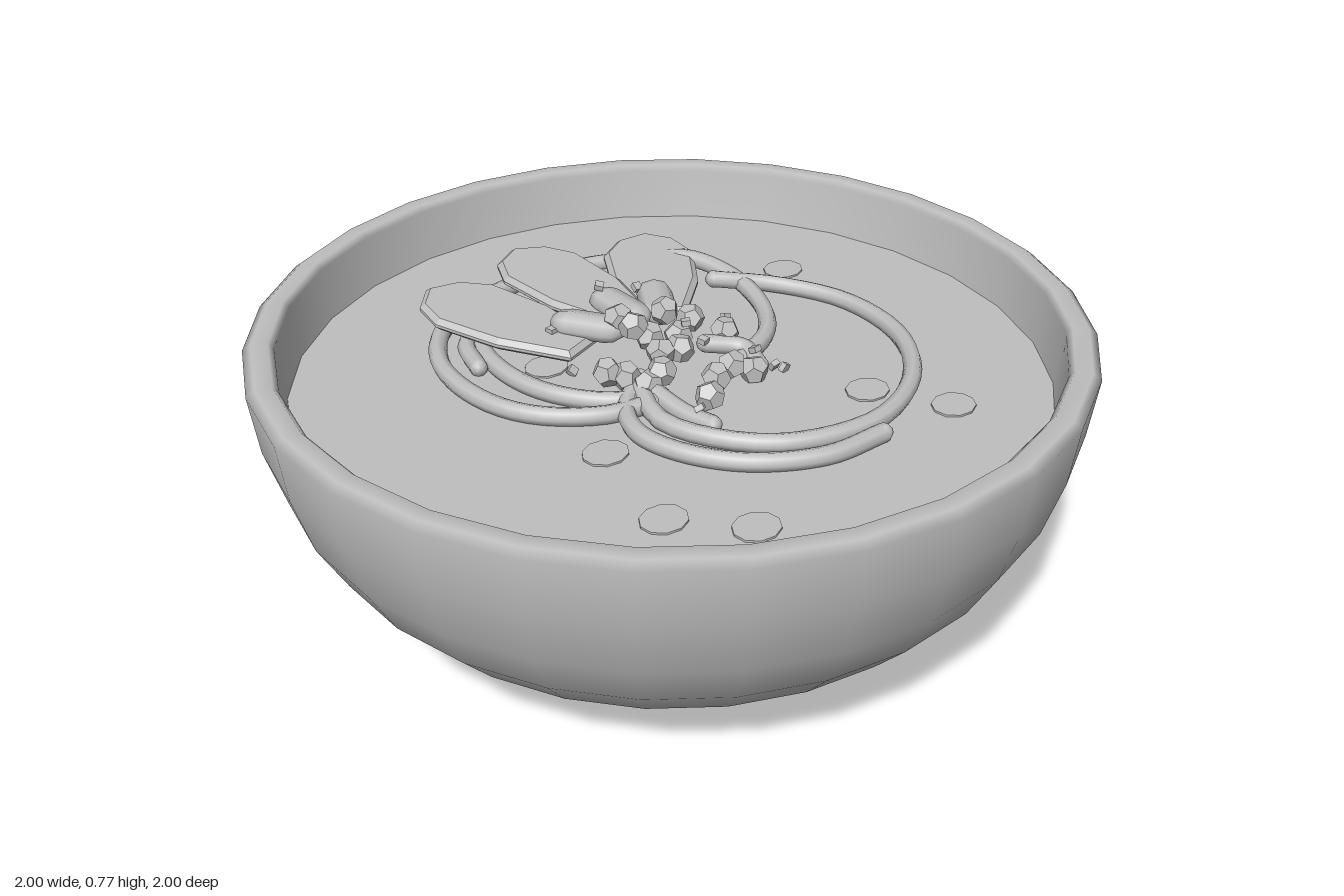
import * as THREE from 'three';

const LIQUID = 0.62;

export function createModel() {
  const group = new THREE.Group();
  const grey = new THREE.MeshStandardMaterial({ color: 0xbfbfbf });
  grey.name = 'plain grey';
  const faceted = grey; // facets come from split normals, so one colour is enough

  function add(geometry, name, material = grey) {
    const mesh = new THREE.Mesh(geometry, material);
    mesh.name = name;
    group.add(mesh);
    return mesh;
  }

  // Bowl with foot, wall, rounded rim and inner wall in one smooth lathe
  const profile = [
    [0, 0], [0.42, 0], [0.42, 0.085], [0.54, 0.1], [0.68, 0.15], [0.79, 0.235],
    [0.88, 0.34], [0.945, 0.465], [0.985, 0.61], [1, 0.755], [0.98, 0.77],
    [0.94, 0.77], [0.928, 0.755], [0.915, 0.62], [0.87, 0.46], [0.7, 0.24], [0, 0.14],
  ].map(([r, y]) => new THREE.Vector2(r, y));
  add(new THREE.LatheGeometry(profile, 28), 'bowl');

  // Liquid surface
  const liquid = add(new THREE.CircleGeometry(0.918, 28), 'soup');
  liquid.rotation.x = -Math.PI / 2;
  liquid.position.y = LIQUID;

  // Flat oil drops floating on the liquid
  const drops = [[0.61, -0.15], [-0.38, 0.15], [-0.48, 0.42], [-0.37, 0.58],
    [0.24, 0.41], [0.32, 0.6], [-0.2, -0.23], [0.24, -0.5]];
  drops.forEach(([x, z]) => {
    const drop = add(new THREE.CylinderGeometry(0.057, 0.057, 0.006, 10), 'oilDrop');
    drop.scale.z = 0.88;
    drop.position.set(x, LIQUID + 0.002, z);
  });

  // Noodles: smooth tubes through [x, z, y] points, rounded at both ends
  const noodles = [
    [[0.38, -0.2, 0.66], [0.5, -0.08, 0.64], [0.555, 0.1], [0.5, 0.31], [0.35, 0.46], [0.13, 0.52],
      [-0.08, 0.44], [-0.18, 0.31], [-0.21, 0.16], [-0.15, 0.03, 0.65]],
    [[0.09, 0.565], [-0.07, 0.53], [-0.21, 0.42], [-0.28, 0.28], [-0.285, 0.16], [-0.22, 0.06], [-0.12, 0.01, 0.65]],
    [[-0.14, 0.1], [-0.28, 0.05], [-0.39, -0.07], [-0.425, -0.21], [-0.39, -0.39],
      [-0.29, -0.52], [-0.15, -0.59], [0.02, -0.6], [0.18, -0.565]],
    [[0.12, -0.57], [0.25, -0.54], [0.36, -0.47], [0.43, -0.34, 0.66], [0.44, -0.18, 0.65],
      [0.38, -0.03], [0.27, 0.07], [0.13, 0.11]],
    [[-0.13, 0.09], [-0.24, 0], [-0.3, -0.13], [-0.3, -0.28], [-0.24, -0.42], [-0.08, -0.53, 0.65]],
    [[-0.145, 0.26], [-0.15, 0.18], [-0.14, 0.06, 0.65]],
    [[0.14, 0.16], [0.16, 0.09, 0.65], [0.1, 0.02, 0.66]],
    [[-0.33, -0.33], [-0.28, -0.43], [-0.18, -0.5]],
  ];
  noodles.forEach((points) => {
    const path = points.map(([x, z, y = 0.636]) => new THREE.Vector3(x, y, z));
    const curve = new THREE.CatmullRomCurve3(path);
    add(new THREE.TubeGeometry(curve, 36, 0.023, 8), 'noodle');
    [path[0], path[path.length - 1]].forEach((p) => {
      add(new THREE.SphereGeometry(0.023, 8, 6), 'noodleEnd').position.copy(p);
    });
  });

  // Orients a part: local y runs from a to b, local z stays close to upright
  function alignAlong(mesh, a, b) {
    const y = b.clone().sub(a).normalize();
    const x = new THREE.Vector3().crossVectors(y, new THREE.Vector3(0, 1, 0)).normalize();
    const z = new THREE.Vector3().crossVectors(x, y);
    mesh.quaternion.setFromRotationMatrix(new THREE.Matrix4().makeBasis(x, y, z));
    mesh.position.copy(a);
  }

  // Three broad pointed leaves fanned out toward the back
  const outline = [[-0.05, 0.02], [0.05, 0.02], [0.1, 0.2], [0.108, 0.38],
    [0.07, 0.46], [0, 0.5], [-0.07, 0.46], [-0.108, 0.38], [-0.1, 0.2]];
  const leafGeometry = new THREE.ExtrudeGeometry(
    new THREE.Shape(outline.map(([x, y]) => new THREE.Vector2(x, y))),
    { depth: 0.008, bevelEnabled: true, bevelThickness: 0.012, bevelSize: 0.014, bevelSegments: 1 });
  const leaves = [
    [[-0.12, 0.655, -0.17], [-0.22, 0.685, -0.65]],
    [[0.05, 0.665, -0.17], [0.11, 0.67, -0.69]],
    [[0.14, 0.65, -0.16], [0.45, 0.655, -0.52]],
  ];
  leaves.forEach(([base, tip]) => {
    const leaf = add(leafGeometry, 'leaf', faceted);
    const a = new THREE.Vector3(...base), b = new THREE.Vector3(...tip);
    alignAlong(leaf, a, b);
    leaf.scale.y = a.distanceTo(b) / 0.514;
  });

  // Short plump pieces in front of the leaves
  const pieces = [
    [[-0.04, 0.69, -0.15], [-0.1, 0.69, -0.28]],
    [[0.03, 0.7, -0.14], [0.055, 0.695, -0.29]],
    [[0.1, 0.685, -0.13], [0.19, 0.685, -0.24]],
  ];
  pieces.forEach(([from, to]) => {
    const a = new THREE.Vector3(...from), b = new THREE.Vector3(...to);
    const geometry = new THREE.CapsuleGeometry(0.046, a.distanceTo(b) - 0.04, 3, 8);
    const piece = add(geometry, 'shortPiece');
    alignAlong(piece, a, b);
    piece.position.lerp(b, 0.5);
    piece.scale.z = 0.7;
  });

  // Faceted berries heaped in the middle, [x, z, y]
  const berries = [
    [-0.03, -0.15, 0.72], [-0.05, -0.08, 0.73], [0.06, -0.08, 0.73], [-0.02, -0.055, 0.7],
    [0.16, -0.085, 0.67], [0.16, 0.03, 0.675], [-0.19, -0.03, 0.68], [-0.16, 0, 0.67],
    [-0.1, 0.06, 0.68], [-0.015, 0.04, 0.7], [0.045, -0.02, 0.69], [-0.06, 0.02, 0.7],
    [-0.02, 0.16, 0.67], [0.035, 0.16, 0.68], [0.1, 0.175, 0.645], [-0.07, 0.185, 0.65],
    [-0.14, 0.055, 0.66],
  ];
  const berryGeometry = new THREE.DodecahedronGeometry(0.037);
  berries.forEach(([x, z, y], i) => {
    const berry = add(berryGeometry, 'berry', faceted);
    berry.position.set(x, y, z);
    berry.rotation.set(0.5 * i, 0.9 * i, 0.3 * i);
  });

  // Tiny seeds sprinkled over the topping
  const seeds = [
    [-0.14, -0.27, 0.685], [0.04, -0.285, 0.735], [0.15, -0.26, 0.7], [-0.18, -0.16, 0.63],
    [0.28, -0.07, 0.63], [0.245, -0.06, 0.63], [0.18, 0.205, 0.63], [0.165, 0.185, 0.635],
    [-0.145, 0.22, 0.665], [0.145, 0.14, 0.67], [0.05, 0, 0.73], [0.08, 0.03, 0.68],
  ];
  const seedGeometry = new THREE.BoxGeometry(0.022, 0.014, 0.022);
  seeds.forEach(([x, z, y], i) => {
    const seed = add(seedGeometry, 'seed', faceted);
    seed.position.set(x, y, z);
    seed.rotation.set(0.3 * i, 0.7 * i, 0);
  });

  return group;
}
